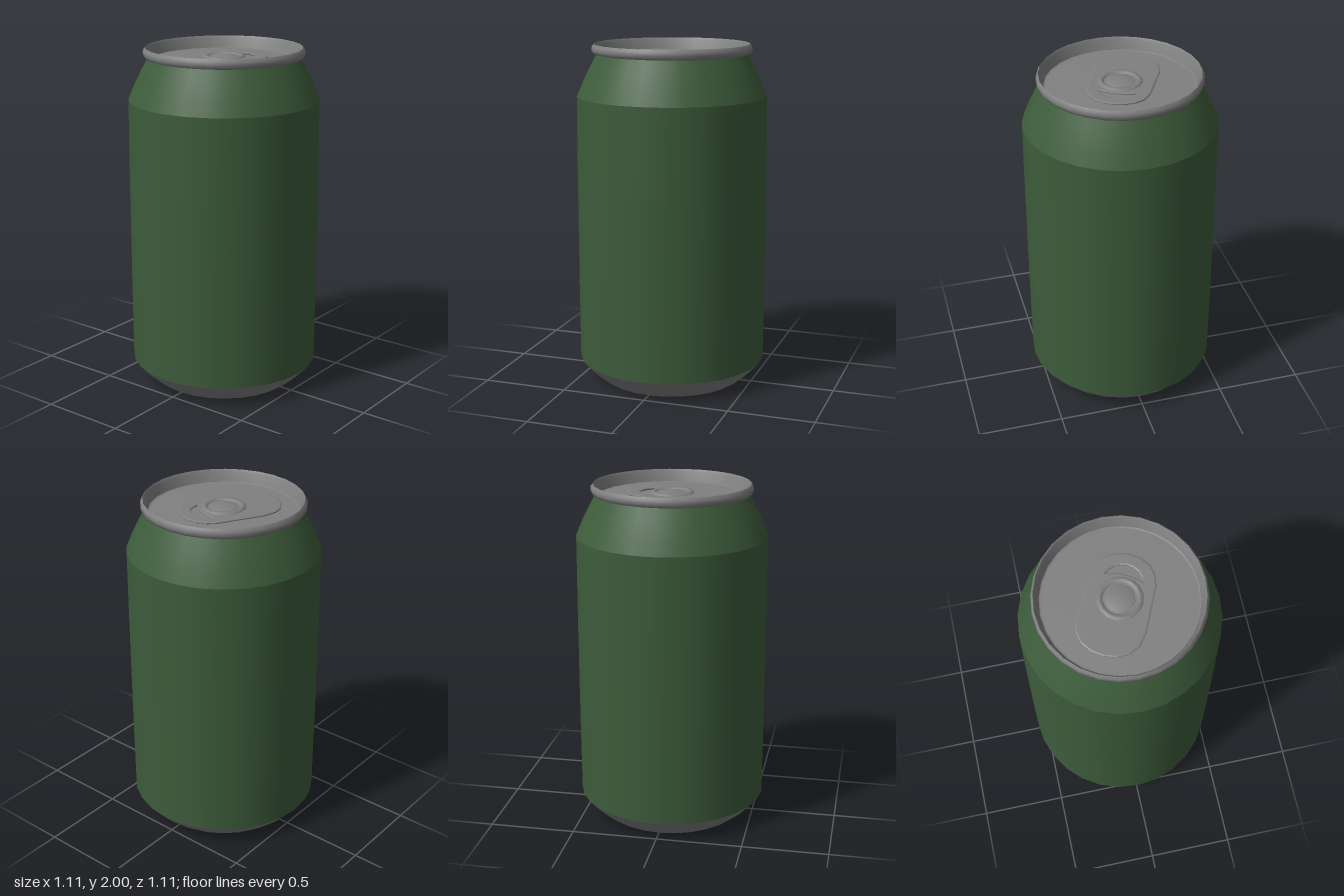
import * as THREE from 'three';

const SIDES = 28;
const PANEL_Y = 1.93;

export function createModel() {
  const can = new THREE.Group();
  can.name = 'drinkCan';
  const green = new THREE.MeshStandardMaterial({ color: 0x3d5c3b });
  green.name = 'green paint';
  const metal = new THREE.MeshStandardMaterial({ color: 0x808080 });
  metal.name = 'grey metal';

  const add = (name, geometry, material) => {
    const mesh = new THREE.Mesh(geometry, material);
    mesh.name = name;
    can.add(mesh);
    return mesh;
  };
  // Each turned piece is its own lathe, so the edges between pieces stay sharp
  const turn = (name, profile, material, sides = SIDES) =>
    add(name, new THREE.LatheGeometry(profile.map(([r, y]) => new THREE.Vector2(r, y)), sides), material);

  // Underside: hollow dome, standing ring and bevel
  turn('baseDome', [[0, 0.13], [0.15, 0.12], [0.29, 0.085], [0.39, 0.035]], metal);
  turn('standingRing', [[0.39, 0.035], [0.405, 0.01], [0.42, 0], [0.435, 0.01]], metal);
  turn('baseBevel', [[0.435, 0.01], [0.5, 0.065], [0.553, 0.125]], metal);

  // Painted wall and shoulder
  turn('wall', [[0.553, 0.125], [0.555, 0.6], [0.555, 1.2], [0.553, 1.7]], green);
  turn('shoulder', [[0.553, 1.7], [0.515, 1.79], [0.475, 1.87], [0.435, 1.945]], green);

  // Rolled rim with its inner wall
  turn('rimOutside', [[0.43, 1.94], [0.455, 1.945], [0.466, 1.965], [0.463, 1.985], [0.452, 2]], metal);
  turn('rimInside', [[0.452, 2], [0.443, 1.985], [0.425, PANEL_Y]], metal);

  // Lid panel with a shallow groove around its edge
  turn('lidPanel', [[0.425, PANEL_Y], [0.415, PANEL_Y - 0.006], [0.4, PANEL_Y], [0, PANEL_Y]], metal);

  // Pull tab: rounded plate with a finger hole, lying at an angle on the lid
  const outline = new THREE.Shape();
  outline.moveTo(-0.18, -0.13);
  outline.bezierCurveTo(-0.18, -0.35, 0.18, -0.35, 0.18, -0.13);
  outline.lineTo(0.17, 0.14);
  outline.bezierCurveTo(0.15, 0.33, -0.15, 0.33, -0.17, 0.14);
  outline.closePath();
  const fingerHole = new THREE.Path();
  fingerHole.moveTo(-0.11, 0.14);
  fingerHole.bezierCurveTo(-0.09, 0.26, 0.09, 0.26, 0.11, 0.14);
  fingerHole.quadraticCurveTo(0, 0.18, -0.11, 0.14);
  outline.holes.push(fingerHole);
  const tabGeometry = new THREE.ExtrudeGeometry(outline, {
    depth: 0.006, bevelEnabled: true, bevelSize: 0.008, bevelThickness: 0.004, bevelSegments: 1, curveSegments: 8,
  });
  tabGeometry.rotateX(-Math.PI / 2);
  const tab = add('pullTab', tabGeometry, metal);
  tab.position.set(-0.02, PANEL_Y + 0.004, 0.02);
  tab.rotation.y = -0.45;

  // Rivet: raised ring around a low button
  turn('rivetRing', [[0.128, 1.94], [0.118, 1.955], [0.1, 1.955], [0.09, 1.942]], metal, 16);
  turn('rivetButton', [[0.085, 1.94], [0.075, 1.95], [0.03, 1.955], [0, 1.957]], metal, 16);

  return can;
}
